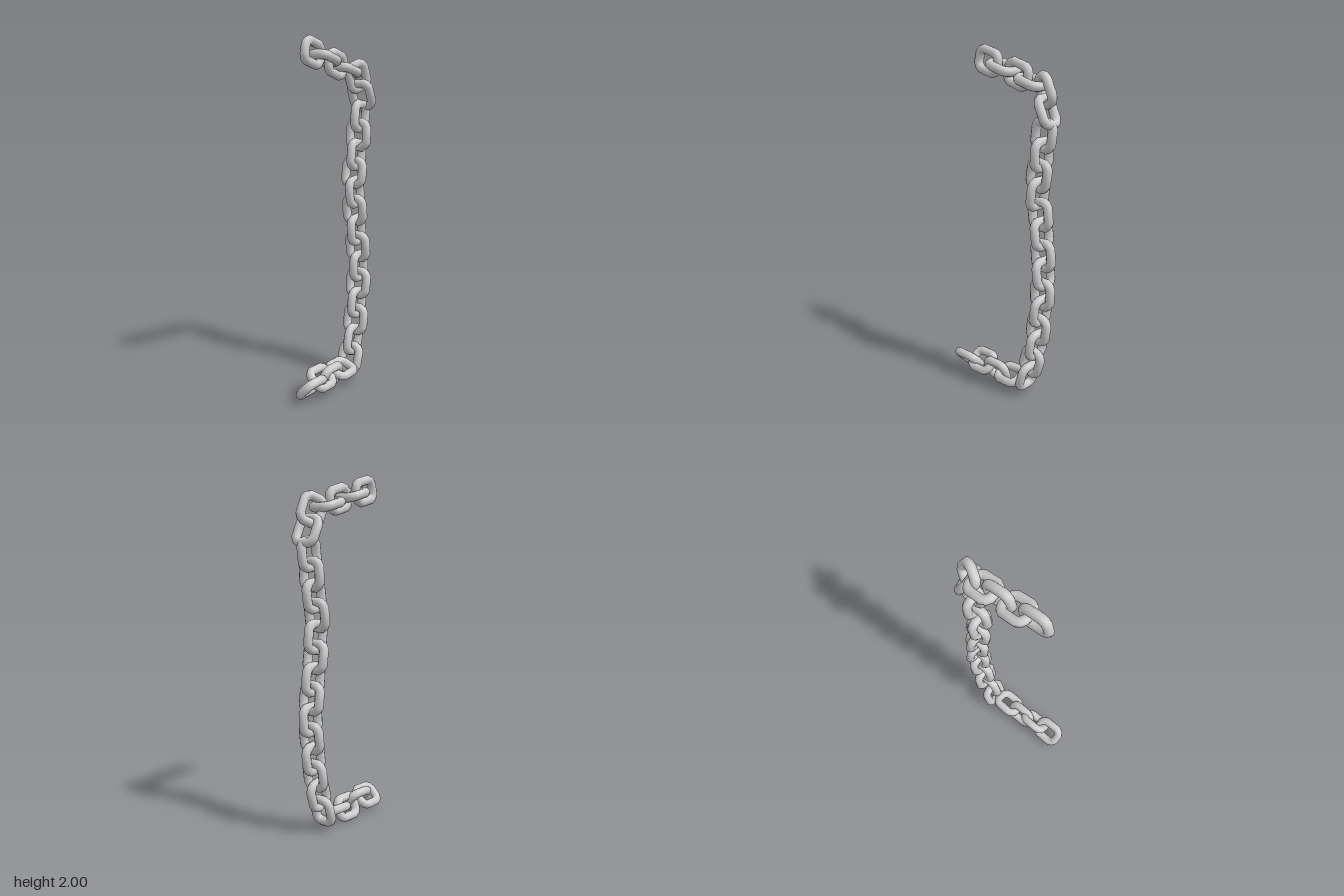
import * as THREE from 'three';

// One entry per link, from the upper free end to the lower one:
// [x, y, z, pitch, roll]; pitch 0 runs to the back, 90 down, 180 to the front.
const LINKS = [
  // upper arm
  [-0.022, 1.913, 0.15, 14, 90],
  [-0.025, 1.888, 0.04, 15, 0],
  [-0.022, 1.86, -0.072, 15, 90],
  [-0.025, 1.828, -0.17, 14, 0],
  // upper bend
  [-0.012, 1.797, -0.277, 65, 65],
  [0, 1.69, -0.302, 65, 8],
  // hanging run
  [0.003, 1.566, -0.283, 97, 90],
  [0, 1.46, -0.27, 93, 0],
  [0, 1.344, -0.25, 98, 90],
  [-0.008, 1.24, -0.238, 97, 0],
  [-0.012, 1.123, -0.254, 83, 90],
  [-0.018, 1.015, -0.262, 82, 0],
  [-0.014, 0.893, -0.276, 84, 90],
  [-0.01, 0.79, -0.286, 83, 0],
  [-0.002, 0.67, -0.286, 92, 90],
  [0, 0.567, -0.278, 97, 0],
  [0, 0.448, -0.262, 98, 90],
  [0, 0.347, -0.25, 98, 0],
  [0.003, 0.228, -0.217, 106, 90],
  [0.003, 0.125, -0.185, 106, 0],
  // lower arm, twisting along its length
  [0.022, 0.093, -0.064, 178, 22],
  [0.02, 0.081, 0.047, 180, -70],
  [0.035, 0.108, 0.157, 180, 45],
  [0.045, 0.09, 0.265, 180, -45],
];

// A coarse ring pulled apart at its four quadrants into a rounded rectangle
function linkGeometry() {
  const geometry = new THREE.TorusGeometry(0.042, 0.0265, 10, 12);
  geometry.rotateZ(Math.PI / 12);
  const p = geometry.attributes.position;
  for (let i = 0; i < p.count; i++) {
    p.setX(i, p.getX(i) + Math.sign(p.getX(i)) * 0.0155);
    p.setY(i, p.getY(i) + Math.sign(p.getY(i)) * 0.0305);
  }
  return geometry.rotateX(Math.PI / 2); // long axis along z
}

export function createModel() {
  const chain = new THREE.Group();
  chain.name = 'chain';
  const geometry = linkGeometry();
  const material = new THREE.MeshStandardMaterial({ color: 0xcccccc });

  LINKS.forEach(([x, y, z, pitch, roll], i) => {
    const link = new THREE.Mesh(geometry, material);
    link.name = `chainLink${i + 1}`;
    link.position.set(x, y, z);
    link.rotation.set(-THREE.MathUtils.degToRad(pitch), 0, THREE.MathUtils.degToRad(roll));
    chain.add(link);
  });
  return chain;
}
